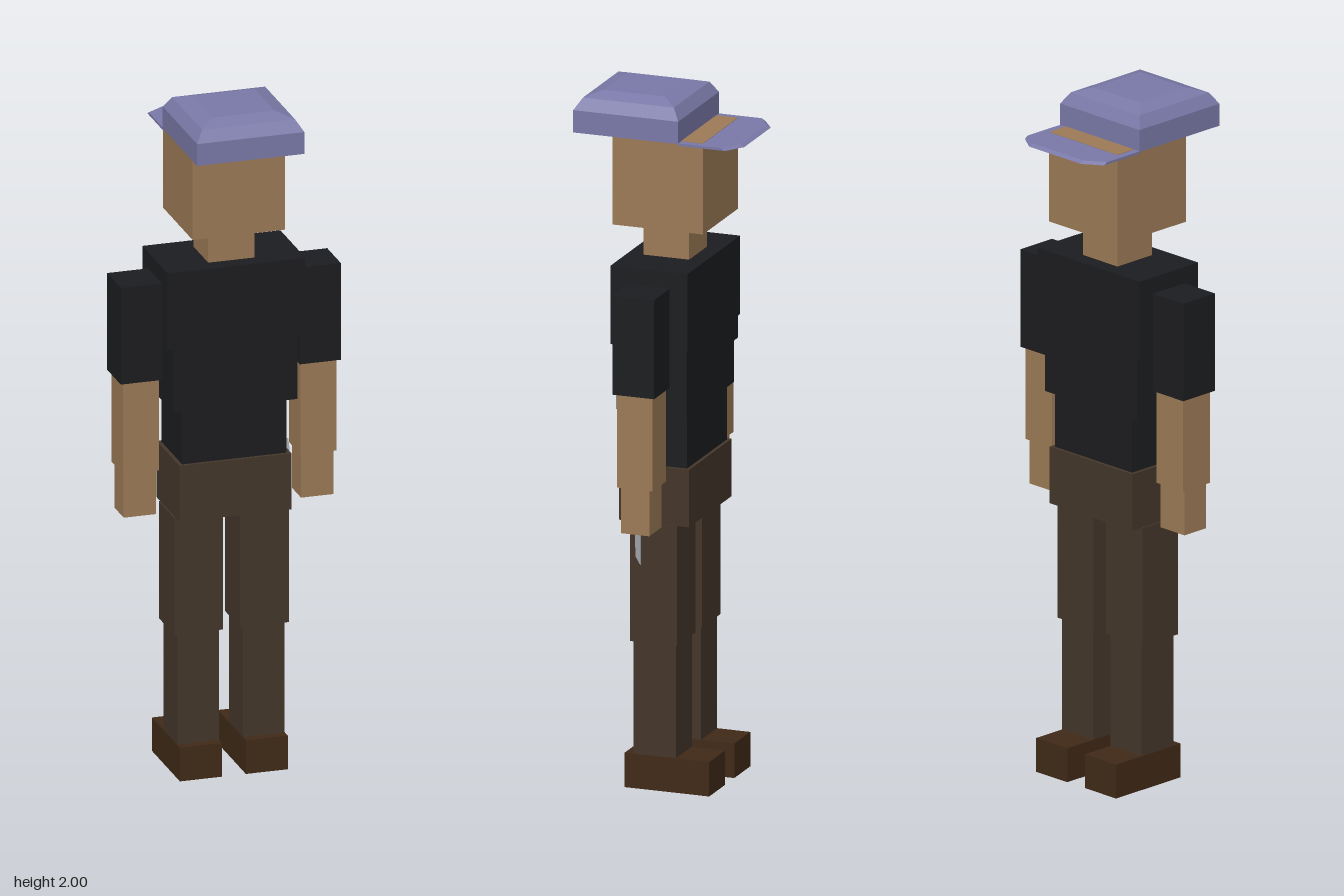
import * as THREE from 'three';

const paint = (color) => new THREE.MeshStandardMaterial({ color, flatShading: true });

export function createModel() {
  const model = new THREE.Group();
  const skin = paint(0x9c7a56), shirt = paint(0x1c1d20), trousers = paint(0x44362a);
  const boots = paint(0x402a17), capCloth = paint(0x7a79a8), steel = paint(0x9ca1a6);

  const add = (name, geometry, material) => {
    const mesh = new THREE.Mesh(geometry, material);
    mesh.name = name;
    model.add(mesh);
    return mesh;
  };

  // Box given by its limits on each axis
  const block = (name, material, [x0, x1], [y0, y1], [z0, z1]) => {
    const box = new THREE.BoxGeometry(x1 - x0, y1 - y0, z1 - z0);
    box.translate((x0 + x1) / 2, (y0 + y1) / 2, (z0 + z1) / 2);
    return add(name, box, material);
  };

  // Head and trunk, stacked on the centre line: half width, y range, half depth
  const trunk = [
    ['head', skin, 0.135, [1.625, 1.89], 0.135],
    ['neck', skin, 0.068, [1.526, 1.625], 0.068],
    ['chest', shirt, 0.202, [1.298, 1.526], 0.115],
    ['midriff', shirt, 0.182, [1.105, 1.298], 0.105],
    ['waist', shirt, 0.153, [0.945, 1.105], 0.095],
    ['hips', trousers, 0.164, [0.778, 0.945], 0.105],
  ];
  for (const [name, material, w, y, d] of trunk) block(name, material, [-w, w], y, [-d, d]);

  // Limbs, mirrored: x range, y range, z range
  const limbs = [
    ['Sleeve', shirt, [0.202, 0.322], [1.19, 1.478], [-0.062, 0.062]],
    ['Forearm', skin, [0.207, 0.312], [0.918, 1.19], [-0.053, 0.053]],
    ['Hand', skin, [0.212, 0.307], [0.785, 0.918], [-0.042, 0.042]],
    ['Thigh', trousers, [0.025, 0.168], [0.43, 0.778], [-0.07, 0.07]],
    ['Shin', trousers, [0.035, 0.157], [0.1, 0.43], [-0.063, 0.063]],
    ['Boot', boots, [0.035, 0.158], [0, 0.1], [-0.163, 0.09]],
  ];
  for (const [name, material, x, y, z] of limbs) {
    block('left' + name, material, x, y, z);
    block('right' + name, material, [-x[1], -x[0]], y, z);
  }

  // Cap crown: a four-sided lathe with chamfered shoulders
  const crown = [[0, 1.887], [0.157, 1.887], [0.157, 1.952], [0.136, 1.985], [0.091, 2], [0, 2]];
  const profile = crown.map(([r, y]) => new THREE.Vector2(r * Math.SQRT2, y));
  add('capCrown', new THREE.LatheGeometry(profile, 4, Math.PI / 4), capCloth).position.z = 0.087;

  // Cap visor: thin plate with cut corners, its upper outer edge drawn in
  const outline = [[-0.157, -0.07], [-0.157, -0.209], [-0.102, -0.246], [0.102, -0.246], [0.157, -0.209], [0.157, -0.07]];
  const visor = new THREE.ExtrudeGeometry(
    new THREE.Shape(outline.map(([x, z]) => new THREE.Vector2(x, z))),
    { depth: 0.007, bevelEnabled: false });
  visor.rotateX(Math.PI / 2);
  const p = visor.attributes.position;
  for (let i = 0; i < p.count; i++) {
    if (p.getY(i) > -0.003 && p.getZ(i) < -0.1) p.setZ(i, p.getZ(i) + 0.012);
  }
  visor.computeVertexNormals();
  add('capVisor', visor, capCloth).position.y = 1.889;

  // Knife worn flat against the left hip, outlined in (z, y)
  const knifeOutline = [
    [0.058, 0.94], [0.048, 0.97], [0.043, 0.88], [0.037, 0.85], [0.037, 0.655],
    [0.052, 0.68], [0.053, 0.785], [0.075, 0.79], [0.075, 0.855], [0.058, 0.86],
  ];
  const knife = new THREE.ExtrudeGeometry(
    new THREE.Shape(knifeOutline.map(([z, y]) => new THREE.Vector2(-z, y))),
    { depth: 0.008, bevelEnabled: false });
  knife.rotateY(Math.PI / 2);
  add('knife', knife, steel).position.x = 0.165;

  return model;
}
